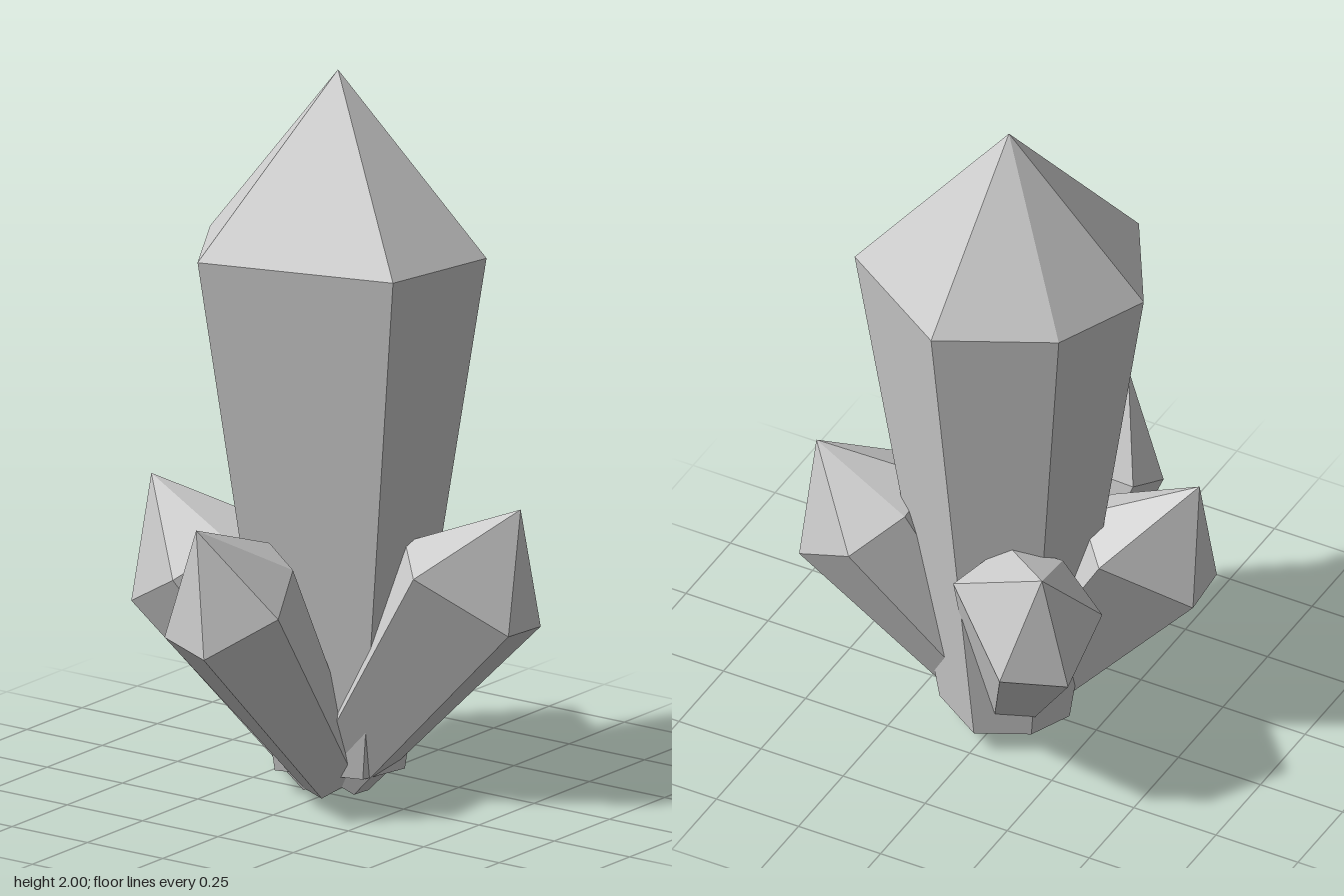
import * as THREE from 'three';

// Irregular six-sided outline [x, z] shared by every crystal
const OUTLINE = [
  [0.05, -0.345], [0.405, -0.12], [0.34, 0.215],
  [-0.195, 0.37], [-0.37, 0.075], [-0.255, -0.19],
];
const TAPER = 0.45; // foot width relative to shoulder width

// Flat-faceted crystal: foot at y = 0, widening to the shoulder, then a point
function crystalGeometry(width, shaft, tip) {
  const ring = (scale, y) => OUTLINE.map(([x, z]) => [x * scale, y, z * scale]);
  const foot = ring(width * TAPER, 0);
  const shoulder = ring(width, shaft);
  const apex = [0, shaft + tip, 0];
  const centre = [0, 0, 0];
  const pos = [];
  const tri = (...corners) => corners.forEach((c) => pos.push(...c));
  const n = OUTLINE.length;
  for (let i = 0; i < n; i++) {
    const j = (i + 1) % n;
    tri(foot[i], shoulder[i], foot[j]);
    tri(foot[j], shoulder[i], shoulder[j]);
    tri(shoulder[i], apex, shoulder[j]);
    tri(foot[i], foot[j], centre);
  }
  const geo = new THREE.BufferGeometry();
  geo.setAttribute('position', new THREE.Float32BufferAttribute(pos, 3));
  geo.computeVertexNormals();
  return geo;
}

export function createModel() {
  const group = new THREE.Group();
  group.name = 'crystalCluster';
  const material = new THREE.MeshStandardMaterial({ color: 0xcccccc, flatShading: true });

  // Tall upright crystal
  const main = new THREE.Mesh(crystalGeometry(1, 1.45, 0.485), material);
  main.name = 'mainCrystal';
  main.position.set(-0.03, 0.065, -0.085);
  group.add(main);

  // Four small crystals leaning outwards, headings in degrees from +x towards +z
  const smallGeometry = crystalGeometry(0.54, 0.675, 0.265);
  const headings = { front: 99.5, right: 162.8, back: 231.5, left: 342.8 };
  for (const [side, heading] of Object.entries(headings)) {
    const small = new THREE.Mesh(smallGeometry, material);
    small.name = `${side}SmallCrystal`;
    small.position.set(0, 0.057, -0.035);
    small.rotation.set(0, -THREE.MathUtils.degToRad(heading), -0.59);
    group.add(small);
  }
  return group;
}
